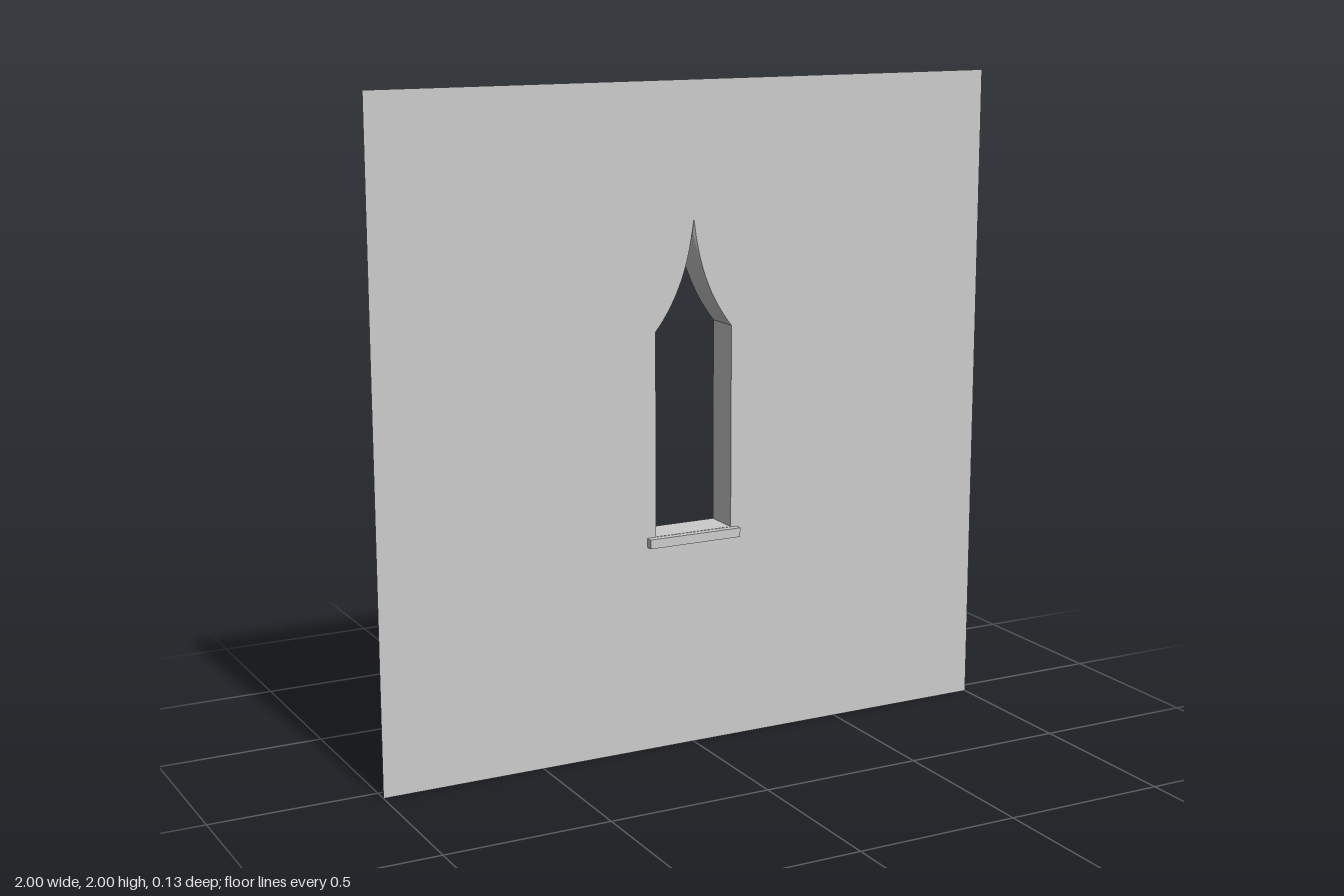
import * as THREE from 'three';
import { toCreasedNormals } from 'three/addons/utils/BufferGeometryUtils.js';

const HALF_WIDTH = 0.126, SILL_Y = 0.66, SPRING_Y = 1.275, APEX_Y = 1.555;
const WALL_Z = 0.046, BACK_Z = -0.066, STEPS = 12;

// Outline of the pointed opening, anticlockwise; lift raises only the tip.
function openingOutline(lift) {
  const arch = new THREE.QuadraticBezierCurve(
    new THREE.Vector2(HALF_WIDTH, SPRING_Y),
    new THREE.Vector2(0.035, 1.385),
    new THREE.Vector2(0, APEX_Y));
  const right = arch.getPoints(STEPS);
  right.forEach((p, i) => { p.y += lift * (i / STEPS) ** 5; });
  const left = right.slice(0, -1).reverse().map(p => new THREE.Vector2(-p.x, p.y));
  return [
    new THREE.Vector2(-HALF_WIDTH, SILL_Y),
    new THREE.Vector2(HALF_WIDTH, SILL_Y),
    ...right, ...left];
}

// Inner faces of the opening, skinned through outlines from back to front.
function revealGeometry() {
  const rings = [[BACK_Z, 0], [0.036, 0], [0.041, 0.015], [WALL_Z, 0.045]]
    .map(([z, lift]) => openingOutline(lift).map(p => [p.x, p.y, z]));
  const count = rings[0].length, positions = [], index = [];
  rings.forEach(ring => ring.forEach(p => positions.push(...p)));
  for (let r = 0; r < rings.length - 1; r++) {
    for (let i = 0; i < count; i++) {
      const a = r * count + i, b = r * count + (i + 1) % count;
      index.push(a, a + count, b, b, a + count, b + count);
    }
  }
  const geometry = new THREE.BufferGeometry();
  geometry.setAttribute('position', new THREE.Float32BufferAttribute(positions, 3));
  geometry.setIndex(index);
  return toCreasedNormals(geometry, 0.5);
}

export function createModel() {
  const group = new THREE.Group();
  group.name = 'wallWithPointedWindow';
  const thin = new THREE.MeshStandardMaterial({ color: 0xcccccc, side: THREE.DoubleSide });
  const solid = new THREE.MeshStandardMaterial({ color: 0xcccccc });
  const add = (name, geometry, material) => {
    const mesh = new THREE.Mesh(geometry, material);
    mesh.name = name;
    group.add(mesh);
    return mesh;
  };

  // Thin square wall pierced by the opening
  const wall = new THREE.Shape([[-1, 0], [1, 0], [1, 2], [-1, 2]].map(p => new THREE.Vector2(...p)));
  wall.holes.push(new THREE.Path(openingOutline(0.045)));
  add('wall', new THREE.ShapeGeometry(wall), thin).position.z = WALL_Z;

  // Jambs, floor and arch running back through the wall
  add('windowReveal', revealGeometry(), thin);

  // Projecting sill under the opening
  add('windowSill', new THREE.BoxGeometry(0.302, 0.028, 0.022), solid)
    .position.set(-0.004, 0.645, 0.057);

  return group;
}
